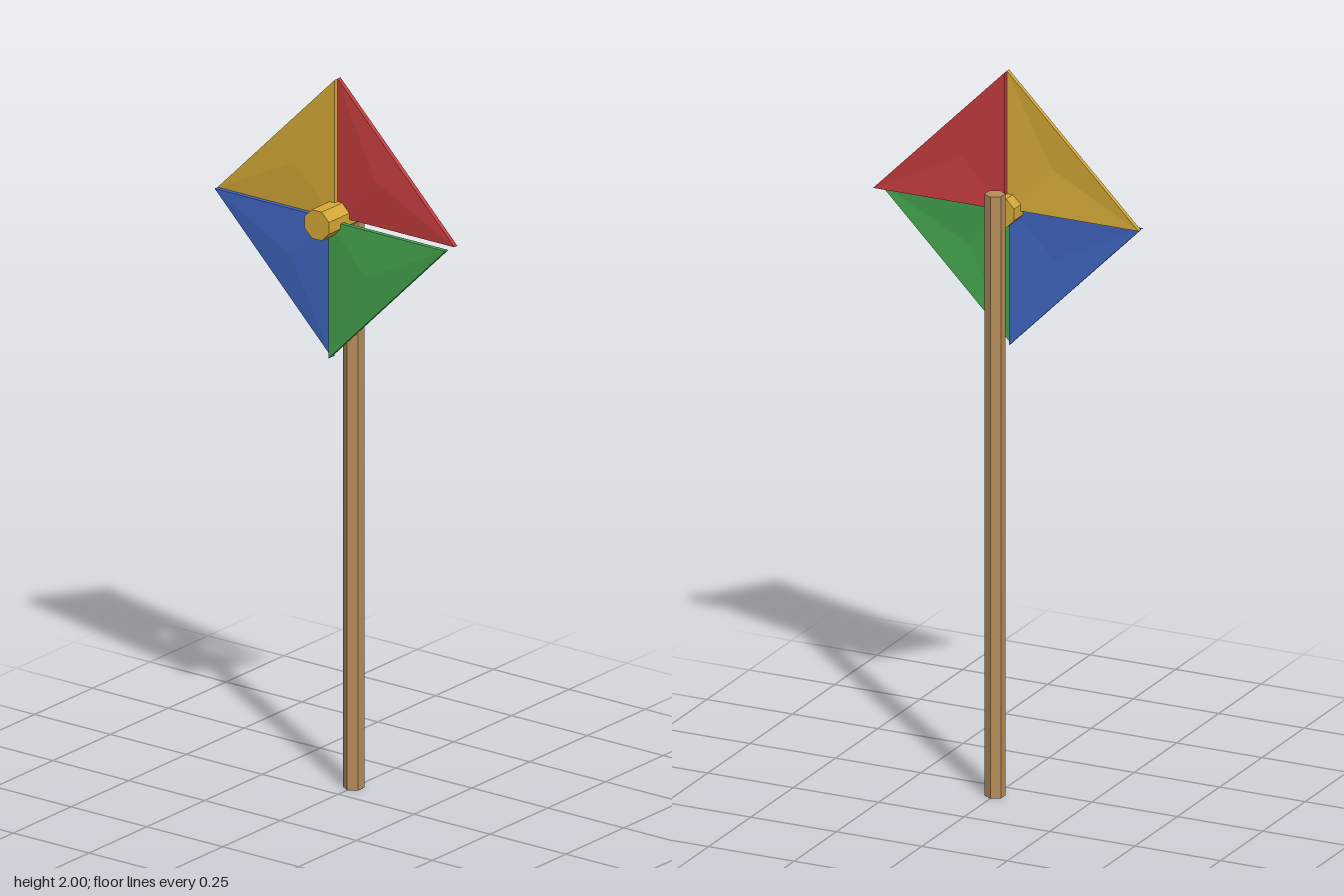
import * as THREE from 'three';

const HUB_Y = 1.615;   // height of the wheel's axis
const REACH = 0.385;   // leg length of each triangular blade
const THICK = 0.013;   // blade thickness, also the step between blades
const BULGE = 0.007;   // how far each blade's middle is pushed forward

function material(name, color) {
  const m = new THREE.MeshStandardMaterial({ color });
  m.name = name;
  return m;
}

// Right-angled triangular sheet with its middle pushed forward
function bladeGeometry() {
  const outline = [[0, 0], [REACH, 0], [0, REACH]];
  const front = outline.map(([x, y]) => [x, y, THICK]);
  const back = outline.map(([x, y]) => [x, y, 0]);
  const frontPeak = [REACH / 3, REACH / 3, THICK + BULGE];
  const backPeak = [REACH / 3, REACH / 3, BULGE];
  const points = [];
  for (let i = 0; i < 3; i++) {
    const j = (i + 1) % 3;
    points.push(front[i], front[j], frontPeak);   // front facet
    points.push(back[j], back[i], backPeak);      // back facet
    points.push(back[i], back[j], front[j]);      // rim
    points.push(back[i], front[j], front[i]);
  }
  const geometry = new THREE.BufferGeometry();
  geometry.setAttribute('position', new THREE.Float32BufferAttribute(points.flat(), 3));
  geometry.computeVertexNormals();
  return geometry;
}

export function createModel() {
  const model = new THREE.Group();
  model.name = 'pinwheel';

  const wood = material('wood', 0xb58c5a);
  const yellow = material('yellow', 0xd4a837);
  const red = material('red', 0xc43c3e);
  const blue = material('blue', 0x3f65c0);
  const green = material('green', 0x44a34d);
  wood.flatShading = yellow.flatShading = true;

  // Hexagonal stick behind the wheel
  const stick = new THREE.Mesh(new THREE.CylinderGeometry(0.028, 0.028, 1.68, 6), wood);
  stick.name = 'stick';
  stick.position.set(0, 0.84, -0.067);
  model.add(stick);

  // Octagonal hub lying along z, flat sides up and sideways
  const hubGeometry = new THREE.CylinderGeometry(0.0433, 0.0433, 0.128, 8);
  hubGeometry.rotateY(Math.PI / 8).rotateX(Math.PI / 2);
  const hub = new THREE.Mesh(hubGeometry, yellow);
  hub.name = 'hub';
  hub.position.set(0, HUB_Y + 0.002, 0.029);
  model.add(hub);

  // Four blades, each a quarter turn on and one step further forward
  const geometry = bladeGeometry();
  [['redBlade', red], ['yellowBlade', yellow], ['blueBlade', blue], ['greenBlade', green]]
    .forEach(([name, colour], i) => {
      const blade = new THREE.Mesh(geometry, colour);
      blade.name = name;
      blade.position.set(0, HUB_Y, -0.01 + i * THICK);
      blade.rotation.z = i * Math.PI / 2;
      model.add(blade);
    });

  return model;
}
